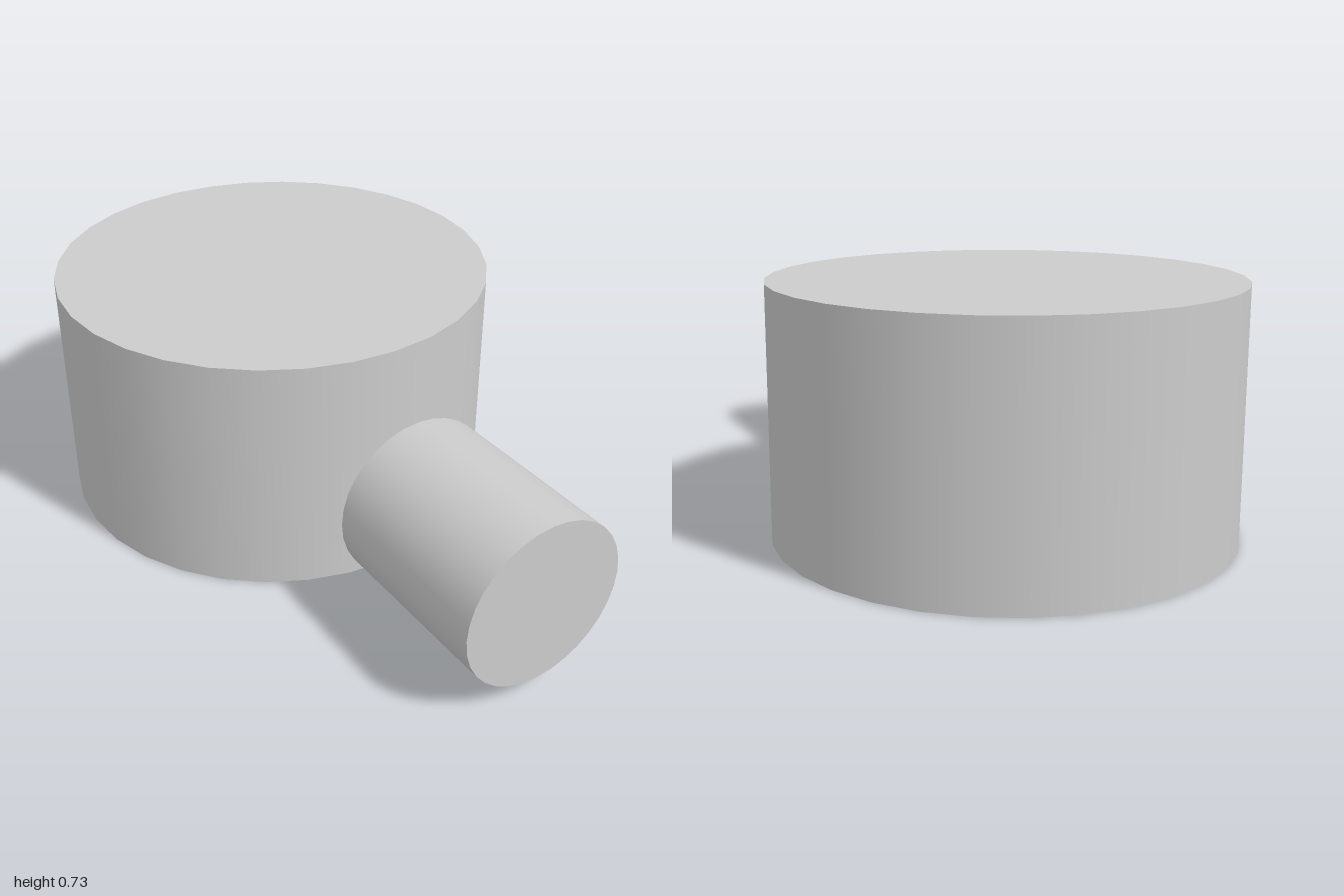
import * as THREE from 'three';

export function createModel() {
  const model = new THREE.Group();
  const grey = new THREE.MeshStandardMaterial({ color: 0xcccccc });
  grey.name = 'light grey';

  const addCylinder = (name, radius, length, x, y, z) => {
    const mesh = new THREE.Mesh(new THREE.CylinderGeometry(radius, radius, length, 32), grey);
    mesh.name = name;
    mesh.position.set(x, y, z);
    model.add(mesh);
    return mesh;
  };

  // Wide upright drum at the back
  addCylinder('drum', 0.665, 0.725, 0, 0.3625, -0.335);

  // Small separate cylinder lying along z in front of the drum
  addCylinder('frontCylinder', 0.248, 0.553, 0, 0.31, 0.7235).rotation.x = Math.PI / 2;

  return model;
}
